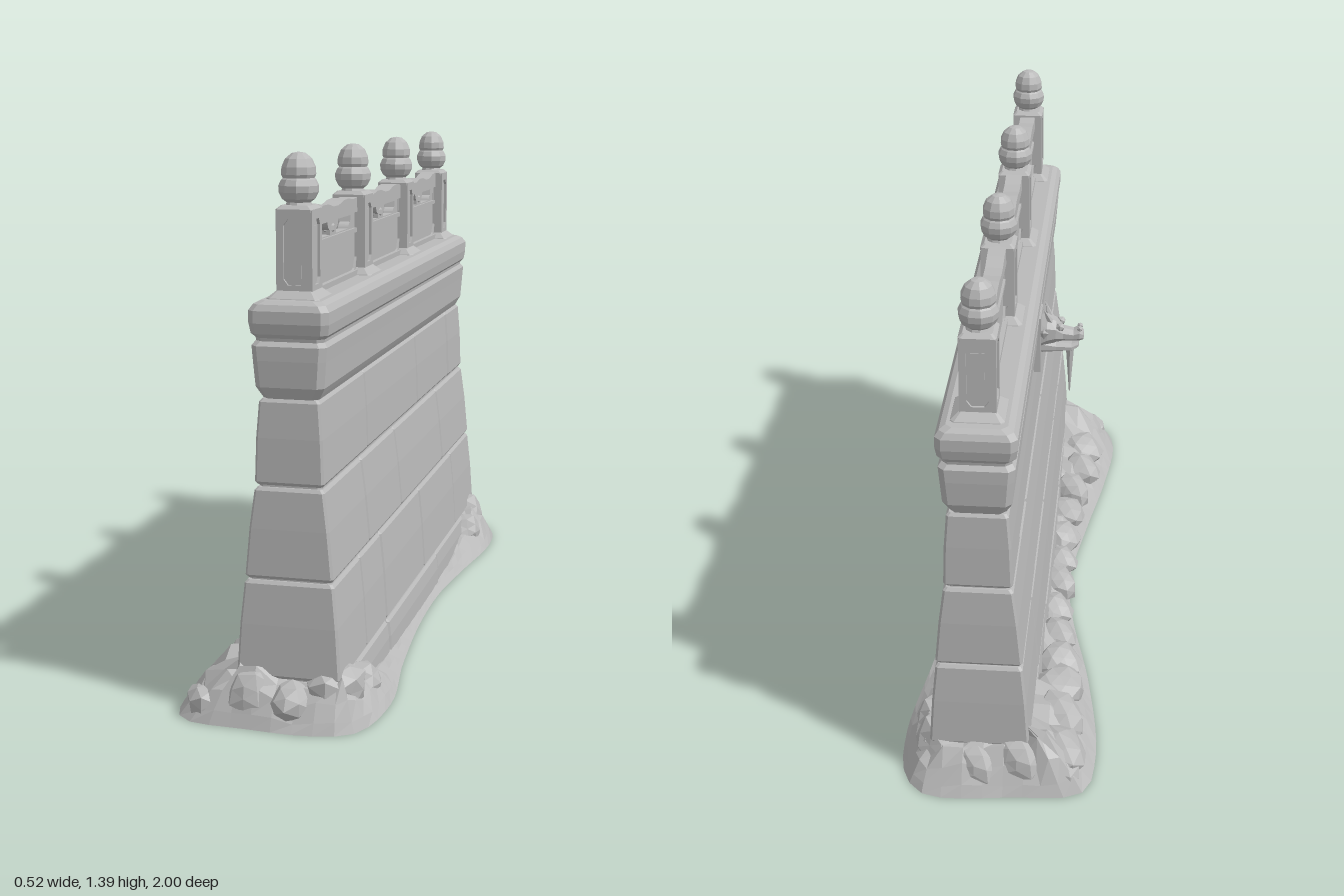
import * as THREE from 'three';

const stone = new THREE.MeshStandardMaterial({ color: 0xb9b9b9, side: THREE.DoubleSide });
stone.name = 'stone';
const CX = 0.04; // centre line of the wall
const V = (x, y, z) => new THREE.Vector3(x, y, z);
const smooth = THREE.MathUtils.smoothstep;

let seed = 7;
const rand = () => (seed = (seed * 16807) % 2147483647) / 2147483647;

function add(parent, name, geo, x = 0, y = 0, z = 0) {
  const flat = geo.index ? geo.toNonIndexed() : geo;
  flat.computeVertexNormals();
  const mesh = new THREE.Mesh(flat, stone);
  mesh.name = name;
  mesh.position.set(x, y, z);
  parent.add(mesh);
  return mesh;
}

// Skin closed rings of points, optionally capping both ends
function loft(rings, capped = true) {
  const n = rings[0].length, idx = [];
  for (let r = 0; r < rings.length - 1; r++) for (let i = 0; i < n; i++) {
    const a = r * n + i, b = r * n + (i + 1) % n;
    idx.push(a, b, b + n, a, b + n, a + n);
  }
  const top = (rings.length - 1) * n;
  if (capped) for (let i = 1; i < n - 1; i++) idx.push(0, i + 1, i, top, top + i, top + i + 1);
  const g = new THREE.BufferGeometry().setFromPoints(rings.flat());
  g.setIndex(idx);
  return g;
}

// Horizontal rectangle with cut corners
function rect(y, hw, z0, z1, c, cx = CX) {
  const a = cx - hw, b = cx + hw;
  return [[b - c, z1], [b, z1 - c], [b, z0 + c], [b - c, z0], [a + c, z0], [a, z0 + c], [a, z1 - c], [a + c, z1]]
    .map(([x, z]) => V(x, y, z));
}

// Half width and half length of the battered wall at a height
const profile = [[0, 0.14, 0.925], [0.11, 0.132, 0.92], [0.36, 0.112, 0.908], [0.59, 0.087, 0.9], [0.82, 0.075, 0.893]];
function wallAt(y, k) {
  let i = 0;
  while (i < profile.length - 2 && y > profile[i + 1][0]) i++;
  const [p, q] = [profile[i], profile[i + 1]];
  return p[k] + (q[k] - p[k]) * (y - p[0]) / (q[0] - p[0]);
}

function buildWall(g) {
  add(g, 'wallCore', loft([0, 0.11, 0.36, 0.59, 0.82].map(y =>
    rect(y, wallAt(y, 1) - 0.008, 0.012 - wallAt(y, 2), wallAt(y, 2) - 0.012, 0.01))));
  // Courses of blocks: bottom, top, joints along z
  const courses = [
    [0, 0.105, [-0.27, 0.4]],
    [0.11, 0.355, [-0.59, -0.09, 0.41, 0.64]],
    [0.36, 0.588, [-0.46, 0.14, 0.53]],
    [0.594, 0.806, [-0.67, -0.19, 0.45]],
  ];
  for (const [y0, y1, joints] of courses) {
    const edges = [-2, ...joints, 2];
    for (let i = 0; i < edges.length - 1; i++) {
      const lean = (rand() - 0.5) * 0.003;
      const ring = (y, inset) => {
        const l = wallAt(y, 2) - inset;
        return rect(y, wallAt(y, 1) - inset + lean, Math.max(-l, edges[i] + 0.003), Math.min(l, edges[i + 1] - 0.003), 0.006);
      };
      add(g, 'wallBlock', loft([ring(y0, 0.006), ring(y0 + 0.008, 0), ring(y0 + (y1 - y0) * 0.55, -0.002), ring(y1 - 0.008, 0), ring(y1, 0.006)]));
    }
  }
  // Moulded band and capping: y, half width, half length
  const band = [[0.806, 0.07, 0.887], [0.82, 0.078, 0.893], [0.835, 0.086, 0.9], [0.9, 0.091, 0.904], [0.935, 0.094, 0.904], [0.946, 0.086, 0.894]];
  const cap = [[0.942, 0.085, 0.893], [0.954, 0.086, 0.895], [0.964, 0.096, 0.902], [0.99, 0.1, 0.908], [1.02, 0.1, 0.908], [1.035, 0.09, 0.9], [1.043, 0.075, 0.885]];
  for (const [name, rows] of [['mouldedBand', band], ['capping', cap]])
    add(g, name, loft(rows.map(([y, w, l]) => rect(y, w, -l, l, 0.016))));
}

function postFrame() {
  const s = new THREE.Shape([[-0.045, 0], [0.045, 0], [0.045, 0.21], [-0.045, 0.21]].map(p => new THREE.Vector2(...p)));
  s.holes.push(new THREE.Path([[-0.016, 0.03], [-0.027, 0.045], [-0.027, 0.173], [-0.016, 0.188], [0.016, 0.188], [0.027, 0.173], [0.027, 0.045], [0.016, 0.03]]
    .map(p => new THREE.Vector2(...p))));
  return new THREE.ExtrudeGeometry(s, { depth: 0.009, bevelEnabled: false });
}

function buildPost(g, z) {
  const post = new THREE.Group();
  post.name = 'post';
  post.position.set(CX, 0, z);
  g.add(post);
  const sq = (y, h, c = 0.005) => rect(y, h, -h, h, c, 0);
  add(post, 'postFoot', loft([sq(1.035, 0.07, 0.01), sq(1.045, 0.066, 0.01), sq(1.062, 0.046)]));
  add(post, 'postCore', new THREE.BoxGeometry(0.076, 0.21, 0.076), 0, 1.15, 0);
  for (let i = 0; i < 4; i++) {
    const frame = add(post, 'postFrame', postFrame().translate(0, 0, 0.036), 0, 1.045, 0);
    frame.rotation.y = i * Math.PI / 2;
    // Raised centre panel
    const panel = add(post, 'postPanel', new THREE.BoxGeometry(0.034, 0.125, 0.006).translate(0, 0, 0.037), 0, 1.154, 0);
    panel.rotation.y = i * Math.PI / 2;
  }
  add(post, 'postTop', loft([sq(1.25, 0.046), sq(1.257, 0.046), sq(1.266, 0.036)]));
  // Bud finial
  const outline = [[0.034, 1.262], [0.03, 1.272], [0.041, 1.28], [0.049, 1.296], [0.05, 1.312], [0.043, 1.326], [0.039, 1.33],
    [0.043, 1.338], [0.042, 1.356], [0.033, 1.376], [0.017, 1.389], [0, 1.392]].map(p => new THREE.Vector2(...p));
  const bud = add(post, 'finial', new THREE.LatheGeometry(outline, 10));
  bud.rotation.y = rand() * 3;
}

function buildBay(g, z) {
  const half = 0.224, bay = new THREE.Group();
  bay.name = 'balustradeBay';
  bay.position.set(CX, 0, z);
  g.add(bay);
  // Pierced slab with two curved openings
  const s = new THREE.Shape([[-half, 1.035], [half, 1.035], [half, 1.235], [-half, 1.235]].map(p => new THREE.Vector2(...p)));
  for (const m of [1, -1]) {
    const hole = new THREE.Path();
    hole.moveTo(m * 0.03, 1.172);
    hole.lineTo(m * 0.155, 1.172);
    hole.quadraticCurveTo(m * 0.16, 1.186, m * 0.178, 1.188);
    hole.lineTo(m * 0.183, 1.206);
    hole.lineTo(m * 0.055, 1.206);
    hole.quadraticCurveTo(m * 0.05, 1.186, m * 0.03, 1.184);
    s.holes.push(hole);
  }
  const slab = new THREE.ExtrudeGeometry(s, { depth: 0.028, bevelEnabled: false, curveSegments: 5 });
  add(bay, 'piercedSlab', slab.translate(0, 0, -0.014).rotateY(Math.PI / 2));
  add(bay, 'middleRail', new THREE.BoxGeometry(0.042, 0.012, half * 2), 0, 1.163, 0);
  add(bay, 'sill', new THREE.BoxGeometry(0.054, 0.022, half * 2), 0, 1.046, 0);
  const vase = add(bay, 'cloudOrnament', new THREE.SphereGeometry(0.02, 8, 5), 0, 1.188, 0);
  vase.scale.set(0.95, 1, 1.8);
  // Worn handrail, sagging unevenly along its top
  const rail = new THREE.BoxGeometry(0.046, 0.036, half * 2, 1, 1, 9), p = rail.attributes.position;
  for (let i = 0; i < p.count; i++) if (p.getY(i) > 0)
    p.setY(i, 0.018 + 0.006 * Math.sin(p.getZ(i) * 31 + z * 9) + 0.008 * Math.abs(p.getZ(i) / half) ** 3);
  add(bay, 'handrail', rail, 0, 1.23, 0);
  // Small brackets at the foot beside each post
  for (const m of [1, -1]) {
    const b = new THREE.Shape([[0, 0], [0.05, 0], [0.02, 0.012], [0, 0.04]].map(q => new THREE.Vector2(...q)));
    const bracket = new THREE.ExtrudeGeometry(b, { depth: 0.04, bevelEnabled: false });
    add(bay, 'footBracket', bracket.translate(0, 0, -0.02).rotateY(m * Math.PI / 2), 0, 1.05, m * half);
  }
}

function buildSpout(g) {
  const spout = new THREE.Group();
  spout.name = 'beastSpout';
  g.add(spout);
  // Rows along -x: x, centre y, half height, half width
  const snout = rows => loft(rows.map(([x, y, h, w]) => Array.from({ length: 8 }, (_, i) => {
    const a = (i + 0.5) * Math.PI / 4;
    return V(x, y + Math.sin(a) * h, Math.cos(a) * w);
  })));
  add(spout, 'backPlate', new THREE.BoxGeometry(0.03, 0.17, 0.1), -0.043, 0.845, 0);
  add(spout, 'head', snout([[-0.04, 0.86, 0.055, 0.045], [-0.075, 0.875, 0.048, 0.044], [-0.1, 0.875, 0.036, 0.038],
    [-0.12, 0.865, 0.022, 0.028], [-0.15, 0.862, 0.018, 0.026], [-0.168, 0.867, 0.022, 0.027], [-0.179, 0.862, 0.013, 0.018]]));
  add(spout, 'jaw', snout([[-0.05, 0.83, 0.026, 0.034], [-0.1, 0.824, 0.016, 0.026], [-0.145, 0.824, 0.012, 0.024], [-0.165, 0.832, 0.008, 0.015]]));
  for (const m of [1, -1]) {
    const horn = add(spout, 'horn', new THREE.ConeGeometry(0.013, 0.06, 5), -0.075, 0.925, m * 0.022);
    horn.rotation.set(m * 0.35, 0, -0.35);
    const ear = add(spout, 'ear', new THREE.ConeGeometry(0.018, 0.05, 4), -0.066, 0.885, m * 0.052);
    ear.rotation.x = m * 1.1;
    add(spout, 'brow', new THREE.IcosahedronGeometry(0.014, 0), -0.112, 0.893, m * 0.022);
    add(spout, 'nostril', new THREE.IcosahedronGeometry(0.009, 0), -0.168, 0.884, m * 0.012);
  }
  add(spout, 'drip', new THREE.CylinderGeometry(0.014, 0.002, 0.15, 6), -0.14, 0.752, 0);
}

function boulder(g, x, y, z, r) {
  const geo = new THREE.IcosahedronGeometry(1, 1), p = geo.attributes.position, k = rand() * 6;
  for (let i = 0; i < p.count; i++) {
    const v = V(0, 0, 0).fromBufferAttribute(p, i);
    v.multiplyScalar(1 + 0.14 * Math.sin(v.x * 3.1 + k) * Math.cos(v.z * 2.7 - k) + 0.08 * Math.sin(v.y * 5 + k));
    p.setXYZ(i, x + v.x * r, Math.max(0, y + v.y * r * 0.85), z + v.z * r * 1.1);
  }
  add(g, 'boulder', geo);
}

function buildGround(g) {
  const outline = [[0.12, 0.99], [0.215, 0.95], [0.258, 0.75], [0.225, 0.45], [0.2, 0.1], [0.2, -0.2], [0.225, -0.45], [0.258, -0.75], [0.24, -0.92], [0.18, -0.995],
    [-0.05, -0.99], [-0.23, -0.96], [-0.262, -0.82], [-0.23, -0.5], [-0.17, -0.2], [-0.15, 0], [-0.19, 0.3], [-0.24, 0.6], [-0.26, 0.85], [-0.22, 0.96], [-0.05, 0.985]];
  const edge = new THREE.CatmullRomCurve3(outline.map(([x, z]) => V(x, 0, z)), true).getSpacedPoints(90).slice(0, 90);
  // Skirt of earth rising from the outline to the wall, highest at the ends
  const rings = [0, 0.15, 0.4, 0.7, 1].map(t => edge.map((p, i) => {
    const q = V(THREE.MathUtils.clamp(p.x, -0.08, 0.16), 0, THREE.MathUtils.clamp(p.z, -0.9, 0.9));
    const end = smooth(Math.abs(p.z), 0.45, 0.88), back = smooth(-p.x, -0.05, 0.12);
    const h = 0.02 + 0.035 * back + 0.09 * end + 0.02 * Math.sin(i * 1.1) * Math.max(end, back);
    const v = p.clone().lerp(q, t);
    v.y = h * Math.sin(t * Math.PI / 2) * (1 + 0.12 * Math.sin(i * 2.3 + t * 5));
    return v;
  }));
  add(g, 'earthSkirt', loft(rings, false));
  // Boulders along the spout side
  for (let i = 0; i < 14; i++) {
    const z = -0.86 + i * 0.132, far = smooth(Math.abs(z), 0.1, 0.8);
    boulder(g, -0.105 - 0.045 * far - rand() * 0.015, 0.03 + 0.02 * far, z, 0.05 + 0.015 * far + rand() * 0.012);
  }
  // Boulders round both ends
  for (const m of [1, -1]) for (const [x, y, z, r] of [[-0.06, 0.07, 0.9, 0.07], [0.05, 0.055, 0.915, 0.065], [0.14, 0.08, 0.86, 0.075], [0.17, 0.055, 0.74, 0.058], [-0.17, 0.03, 0.9, 0.06]])
    boulder(g, x, y, z * m, r);
}

export function createModel() {
  const model = new THREE.Group();
  model.name = 'stoneWall';
  buildWall(model);
  for (let i = 0; i < 4; i++) buildPost(model, -0.795 + i * 0.53);
  for (let i = 0; i < 3; i++) buildBay(model, -0.53 + i * 0.53);
  buildSpout(model);
  buildGround(model);
  return model;
}
